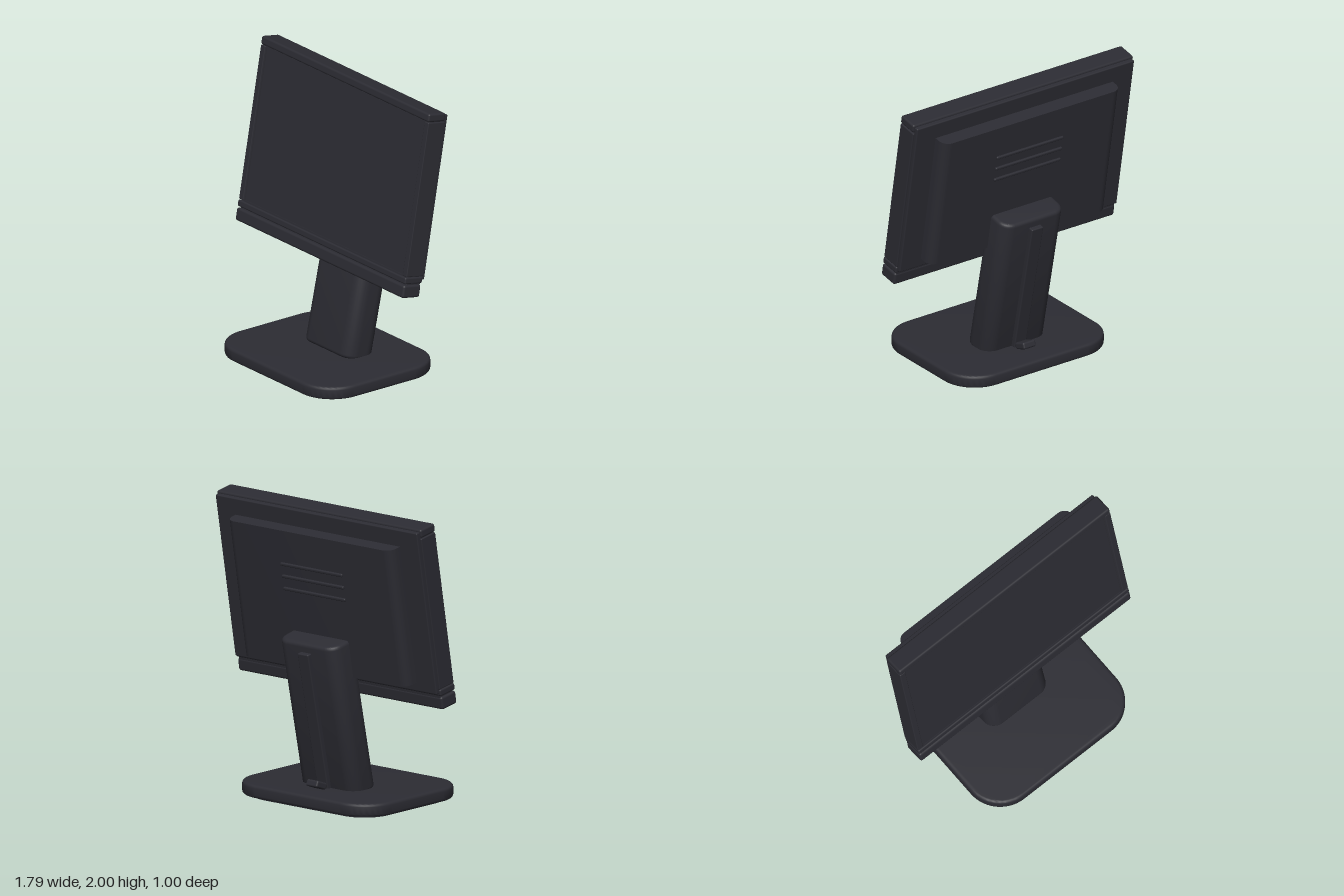
import * as THREE from 'three';
import { toCreasedNormals } from 'three/addons/utils/BufferGeometryUtils.js';
import { RoundedBoxGeometry } from 'three/addons/geometries/RoundedBoxGeometry.js';

const charcoal = new THREE.MeshStandardMaterial({ color: 0x2c2c33 });
charcoal.name = 'charcoal plastic';

function add(parent, name, geometry, x = 0, y = 0, z = 0) {
  const mesh = new THREE.Mesh(geometry, charcoal);
  mesh.name = name;
  mesh.position.set(x, y, z);
  parent.add(mesh);
  return mesh;
}

// Rounded box given by half width, a height range and a depth range
function bar(parent, name, hw, y0, y1, z0, z1, r = 0.01, cx = 0) {
  const g = new RoundedBoxGeometry(2 * hw, y1 - y0, z1 - z0, 3, r);
  return add(parent, name, g, cx, (y0 + y1) / 2, (z0 + z1) / 2);
}

function roundedRect(w, d, r, Type = THREE.Shape) {
  const s = new Type(), x = w / 2, y = d / 2, q = Math.PI / 2;
  s.absarc(x - r, y - r, r, 0, q);
  s.absarc(-x + r, y - r, r, q, 2 * q);
  s.absarc(-x + r, -y + r, r, 2 * q, 3 * q);
  s.absarc(x - r, -y + r, r, 3 * q, 4 * q);
  s.closePath();
  return s;
}

// Upright block with a rounded plan and softened top and bottom edges
function block(w, d, r, y0, y1, bevel) {
  const g = new THREE.ExtrudeGeometry(roundedRect(w - 2 * bevel, d - 2 * bevel, r - bevel), {
    depth: y1 - y0 - 2 * bevel, bevelEnabled: bevel > 0,
    bevelSize: bevel, bevelThickness: bevel, bevelSegments: 4, curveSegments: 10,
  });
  g.rotateX(-Math.PI / 2).translate(0, y0 + bevel, 0);
  return toCreasedNormals(g, 0.6);
}

export function createModel() {
  const model = new THREE.Group();
  model.name = 'monitor';

  // Base
  add(model, 'base', block(1.24, 1, 0.25, 0.02, 0.107, 0.02));
  add(model, 'footPad', block(1.1, 0.86, 0.2, 0, 0.03, 0));
  const clip = bar(model, 'cableClip', 0.05, 0.117, 0.163, -0.36, -0.26, 0.012);
  clip.rotation.x = 0.35;

  // Leaning stand
  const stand = new THREE.Group();
  stand.name = 'stand';
  stand.position.set(0, 0.12, -0.095);
  stand.rotation.x = THREE.MathUtils.degToRad(-12);
  model.add(stand);
  add(stand, 'column', block(0.5, 0.245, 0.09, -0.035, 1.03, 0.025));
  bar(stand, 'cableCover', 0.047, -0.02, 0.97, -0.155, -0.1, 0.008);

  // Tilted head
  const head = new THREE.Group();
  head.name = 'head';
  head.position.y = 1;
  head.rotation.x = THREE.MathUtils.degToRad(-10);
  model.add(head);
  bar(head, 'core', 0.883, -0.2, 0.99, -0.112, 0.004, 0.005);
  bar(head, 'topBar', 0.895, 0.957, 1.014, -0.115, 0.027, 0.014);
  bar(head, 'trimStrip', 0.895, -0.155, -0.111, -0.118, 0.028, 0.01);
  bar(head, 'bottomBar', 0.895, -0.252, -0.164, -0.115, 0.031, 0.016);
  for (const side of [-1, 1]) {
    bar(head, 'sideBezel', 0.0225, -0.106, 0.953, -0.12, 0.022, 0.006, side * 0.8725);
  }

  // Screen with its thin rim
  const rim = new THREE.Shape([[-0.85, -0.111], [0.85, -0.111], [0.85, 0.957], [-0.85, 0.957]]
    .map(p => new THREE.Vector2(...p)));
  rim.holes.push(new THREE.Path([[-0.839, -0.1], [-0.839, 0.946], [0.839, 0.946], [0.839, -0.1]]
    .map(p => new THREE.Vector2(...p))));
  add(head, 'screenRim', new THREE.ExtrudeGeometry(rim, { depth: 0.014, bevelEnabled: false }), 0, 0, 0.003);
  add(head, 'screen', new THREE.BoxGeometry(1.69, 1.056, 0.008), 0, 0.423, 0.008);

  // Rear cover and housing with rounded upright edges
  bar(head, 'rearCover', 0.882, -0.137, 0.998, -0.144, -0.1, 0.008);
  const housing = new THREE.Shape();
  housing.moveTo(-0.72, 0.12);
  housing.lineTo(0.72, 0.12);
  housing.absarc(0.655, 0.18, 0.065, 0, Math.PI / 2);
  housing.absarc(-0.655, 0.18, 0.065, Math.PI / 2, Math.PI);
  housing.closePath();
  const housingGeo = new THREE.ExtrudeGeometry(housing, { depth: 0.957, bevelEnabled: false, curveSegments: 10 });
  housingGeo.rotateX(-Math.PI / 2);
  add(head, 'rearHousing', toCreasedNormals(housingGeo, 0.6), 0, -0.075, 0);

  // Vent ribs
  for (const y of [0.472, 0.559, 0.645]) {
    bar(head, 'ventRib', 0.27, y - 0.011, y + 0.011, -0.259, -0.235, 0.008);
  }
  return model;
}
